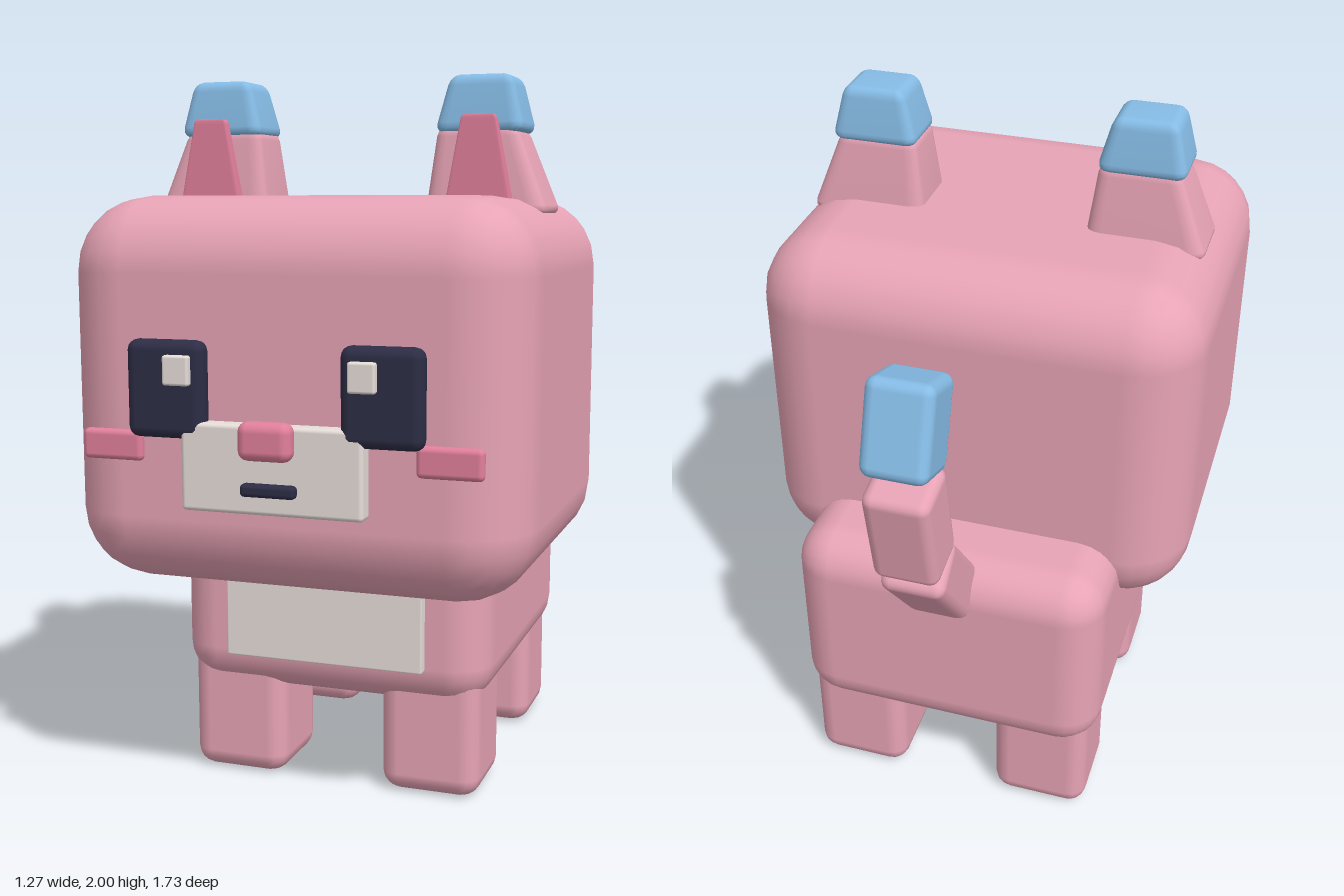
import * as THREE from 'three';
import { RoundedBoxGeometry } from 'three/addons/geometries/RoundedBoxGeometry.js';
import { mergeVertices } from 'three/addons/utils/BufferGeometryUtils.js';

const material = (name, color) => {
  const m = new THREE.MeshStandardMaterial({ color });
  m.name = name;
  return m;
};

export function createModel() {
  const model = new THREE.Group();
  model.name = 'blockyPet';
  const pink = material('pink fur', 0xe8a4b6);
  const rose = material('rose', 0xe2809c);
  const blue = material('sky blue', 0x86bce6);
  const cream = material('cream', 0xe8dfda);
  const dark = material('dark navy', 0x2d2d46);

  const add = (name, geometry, mat) => {
    const mesh = new THREE.Mesh(geometry, mat);
    mesh.name = name;
    model.add(mesh);
    return mesh;
  };

  // Rounded block given by its extents on each axis
  const block = (name, mat, [x0, x1], [y0, y1], [z0, z1], radius, segments = 2) => {
    const mesh = add(name, new RoundedBoxGeometry(x1 - x0, y1 - y0, z1 - z0, segments, radius), mat);
    mesh.position.set((x0 + x1) / 2, (y0 + y1) / 2, (z0 + z1) / 2);
    return mesh;
  };

  // Rounded block whose x and z extents change linearly from bottom to top
  const taper = (name, mat, side, [y0, y1], bottomX, topX, bottomZ, topZ, radius) => {
    const h = y1 - y0;
    const box = new RoundedBoxGeometry(0.2, h, 0.2, 2, radius);
    box.deleteAttribute('normal');
    box.deleteAttribute('uv');
    const geometry = mergeVertices(box, 1e-5);
    const p = geometry.attributes.position;
    const lerp = THREE.MathUtils.lerp;
    const across = (u, t, a, b) => lerp(lerp(a[0], b[0], t), lerp(a[1], b[1], t), u);
    // Flip the x extents for the other side so the winding stays intact
    const flip = ([a, b]) => (side > 0 ? [a, b] : [-b, -a]);
    const bx = flip(bottomX), tx = flip(topX);
    for (let i = 0; i < p.count; i++) {
      const t = p.getY(i) / h + 0.5;
      p.setXYZ(i,
        across(p.getX(i) / 0.2 + 0.5, t, bx, tx),
        lerp(y0, y1, t),
        across(p.getZ(i) / 0.2 + 0.5, t, bottomZ, topZ));
    }
    geometry.computeVertexNormals();
    add(name, geometry, mat);
  };

  // Head and body
  block('head', pink, [-0.635, 0.635], [0.64, 1.675], [-0.325, 0.77], 0.2, 3);
  block('body', pink, [-0.46, 0.46], [0.267, 0.892], [-0.558, 0.425], 0.12, 3);
  block('bellyPatch', cream, [-0.29, 0.29], [0.38, 0.76], [0.38, 0.455], 0.006, 1);

  // Face
  block('muzzle', cream, [-0.245, 0.245], [0.878, 1.107], [0.72, 0.815], 0.012);
  block('nose', rose, [-0.072, 0.072], [1.022, 1.122], [0.805, 0.866], 0.027);
  block('mouth', dark, [-0.074, 0.074], [0.928, 0.962], [0.805, 0.84], 0.012);

  for (const side of [1, -1]) {
    const label = side > 0 ? 'left' : 'right';
    const span = (a, b) => (side > 0 ? [a, b] : [-b, -a]);

    // Eyes, highlights and cheeks
    block(label + 'Eye', dark, span(0.182, 0.397), [1.06, 1.313], [0.755, 0.817], 0.028);
    block(label + 'EyeHighlight', cream, span(0.211, 0.283), [1.2, 1.277], [0.805, 0.836], 0.007);
    block(label + 'Cheek', rose, span(0.37, 0.542), [0.992, 1.073], [0.755, 0.788], 0.015);

    // Ears
    taper(label + 'Ear', pink, side, [1.62, 1.865],
      [0.23, 0.58], [0.262, 0.482], [0.05, 0.272], [0.078, 0.248], 0.03);
    taper(label + 'EarTip', blue, side, [1.842, 2.0],
      [0.252, 0.508], [0.295, 0.468], [0.066, 0.258], [0.085, 0.24], 0.03);
    taper(label + 'InnerEar', rose, side, [1.63, 1.89],
      [0.297, 0.488], [0.345, 0.437], [0.262, 0.298], [0.268, 0.298], 0.014);

    // Legs
    block(label + 'FrontLeg', pink, span(0.145, 0.432), [0.005, 0.4], [0.108, 0.393], 0.055);
    block(label + 'BackLeg', pink, span(0.145, 0.432), [0.005, 0.4], [-0.525, -0.24], 0.055);
  }

  // Tail: three tilted blocks, [name, material, y, z, length, depth, tilt]
  for (const [name, mat, y, z, length, depth, tilt] of [
    ['tailBase', pink, 0.925, -0.615, 0.35, 0.16, -0.67],
    ['tailMiddle', pink, 1.225, -0.757, 0.31, 0.165, -0.19],
    ['tailTip', blue, 1.52, -0.746, 0.255, 0.175, 0.34],
  ]) {
    const part = add(name, new RoundedBoxGeometry(0.18, length, depth, 2, 0.03), mat);
    part.position.set(0, y, z);
    part.rotation.x = tilt;
  }

  return model;
}
